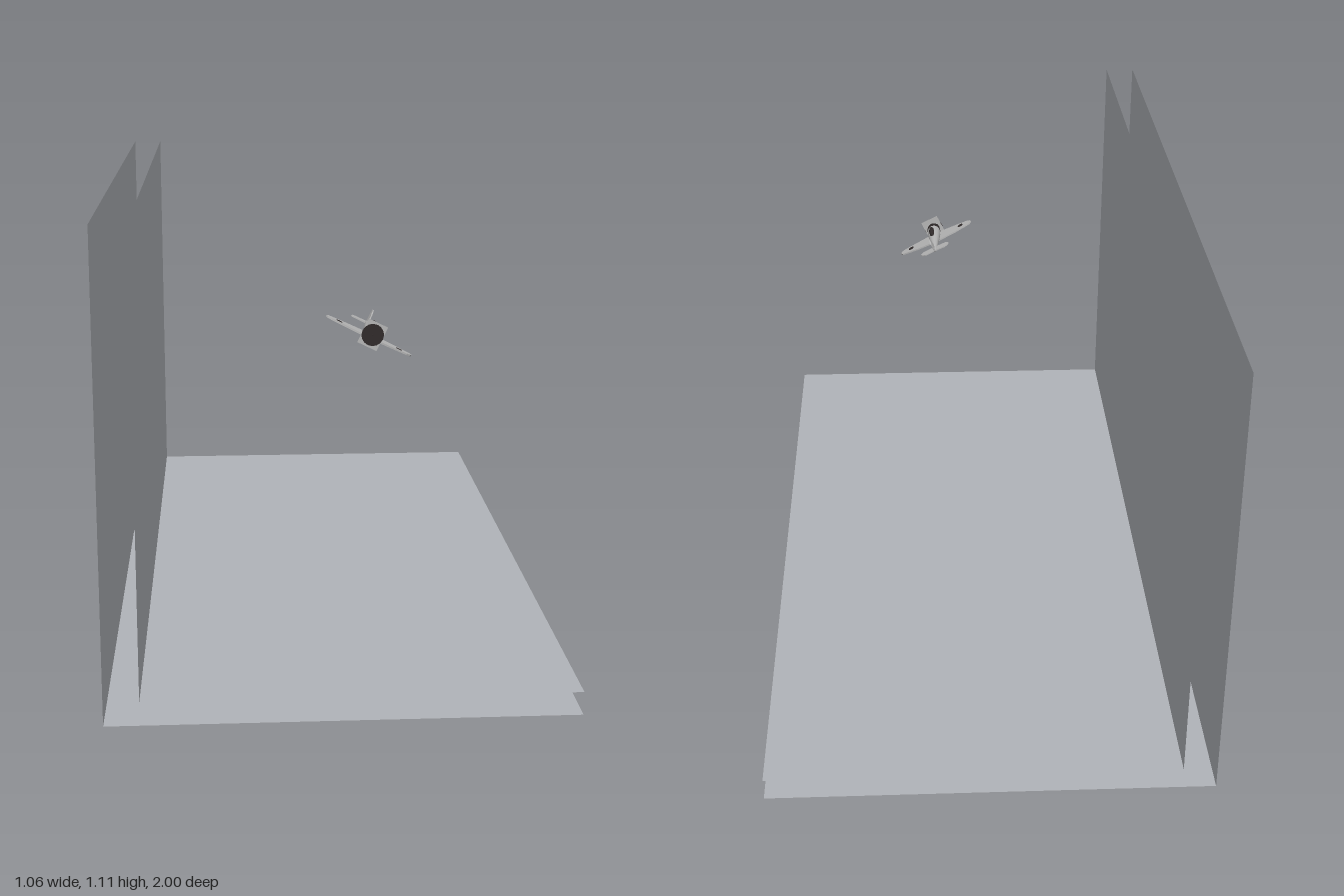
import * as THREE from 'three';

const mat = (name, color, side = THREE.FrontSide) => {
  const m = new THREE.MeshStandardMaterial({ color, side });
  m.name = name;
  return m;
};

export function createModel() {
  const root = new THREE.Group();
  root.name = 'aircraftDisplay';
  const panelGrey = mat('panelGrey', 0xb0b3b8, THREE.DoubleSide);
  const paint = mat('lightGreyPaint', 0xb4b4b4, THREE.DoubleSide);
  const dark = mat('darkTrim', 0x302a2a, THREE.DoubleSide);

  const add = (parent, name, geometry, material, x = 0, y = 0, z = 0) => {
    const m = new THREE.Mesh(geometry, material);
    m.name = name;
    m.position.set(x, y, z);
    parent.add(m);
    return m;
  };

  // Backdrop: an outer and an inner pair of paper-thin panels
  const W = 0.532, H = 1.105;
  for (const [label, x0, y0] of [['outer', -W, 0], ['inner', -0.452, 0.054]]) {
    add(root, label + 'Floor', new THREE.PlaneGeometry(W - x0, 2), panelGrey, (W + x0) / 2, y0, 0)
      .rotation.x = -Math.PI / 2;
    add(root, label + 'Wall', new THREE.PlaneGeometry(2, H - y0), panelGrey, x0, (H + y0) / 2, 0)
      .rotation.y = Math.PI / 2;
  }

  // Small banking propeller aircraft, nose towards +z
  const plane = new THREE.Group();
  plane.name = 'aircraft';
  plane.position.set(0.096, 0.776, 0.47);
  plane.rotation.z = -0.455;
  root.add(plane);

  // Fuselage and cowl, turned about the z axis
  const turned = pts => new THREE.LatheGeometry(
    pts.map(([r, z]) => new THREE.Vector2(r, z)), 12).rotateX(Math.PI / 2);
  add(plane, 'fuselage', turned([[0, -0.088], [0.004, -0.085], [0.009, -0.05],
    [0.014, -0.01], [0.018, 0.03], [0.018, 0.056]]), paint);
  add(plane, 'cowl', turned([[0.018, 0.055], [0.019, 0.058], [0.018, 0.072], [0.01, 0.075], [0, 0.078]]), dark);

  // Cockpit canopy
  const canopy = add(plane, 'canopy', new THREE.SphereGeometry(1, 10, 8), dark, 0, 0.013, 0.02);
  canopy.scale.set(0.008, 0.012, 0.03);

  // Propeller blur disc on a thin square plate
  add(plane, 'propellerPlate', new THREE.PlaneGeometry(0.051, 0.063), paint, 0, 0, 0.0755);
  add(plane, 'propellerDisc', new THREE.CircleGeometry(0.027, 16), dark, 0, 0, 0.0775);

  // Flat surfaces outlined in x and z, extruded thinly in y
  const slab = (pts, t) => {
    const shape = new THREE.Shape(pts.map(([x, z]) => new THREE.Vector2(x, -z)));
    return new THREE.ExtrudeGeometry(shape, { depth: t, bevelEnabled: false })
      .rotateX(-Math.PI / 2).translate(0, -t / 2, 0);
  };
  const mirrored = half => [...half, ...half.map(([x, z]) => [-x, z]).reverse()];
  add(plane, 'wings', slab(mirrored([[0.015, 0.06], [0.06, 0.053], [0.1, 0.046],
    [0.11, 0.04], [0.114, 0.032], [0.108, 0.021], [0.06, 0.009], [0.015, 0.004]]), 0.004), paint, 0, -0.012, 0);
  add(plane, 'tailplane', slab(mirrored([[0.008, -0.062], [0.036, -0.064], [0.044, -0.071],
    [0.042, -0.08], [0.03, -0.089], [0.008, -0.087]]), 0.003), paint);

  // Upright tail fin
  const fin = slab([[0, -0.057], [0.022, -0.065], [0.034, -0.074], [0.034, -0.083],
    [0.024, -0.091], [0, -0.088]], 0.003).rotateZ(Math.PI / 2);
  add(plane, 'tailFin', fin, paint);

  // Round wing markings
  for (const side of [-1, 1]) {
    add(plane, 'wingMarking', new THREE.CylinderGeometry(0.008, 0.008, 0.0048, 12), dark, side * 0.08, -0.012, 0.034);
  }
  return root;
}
